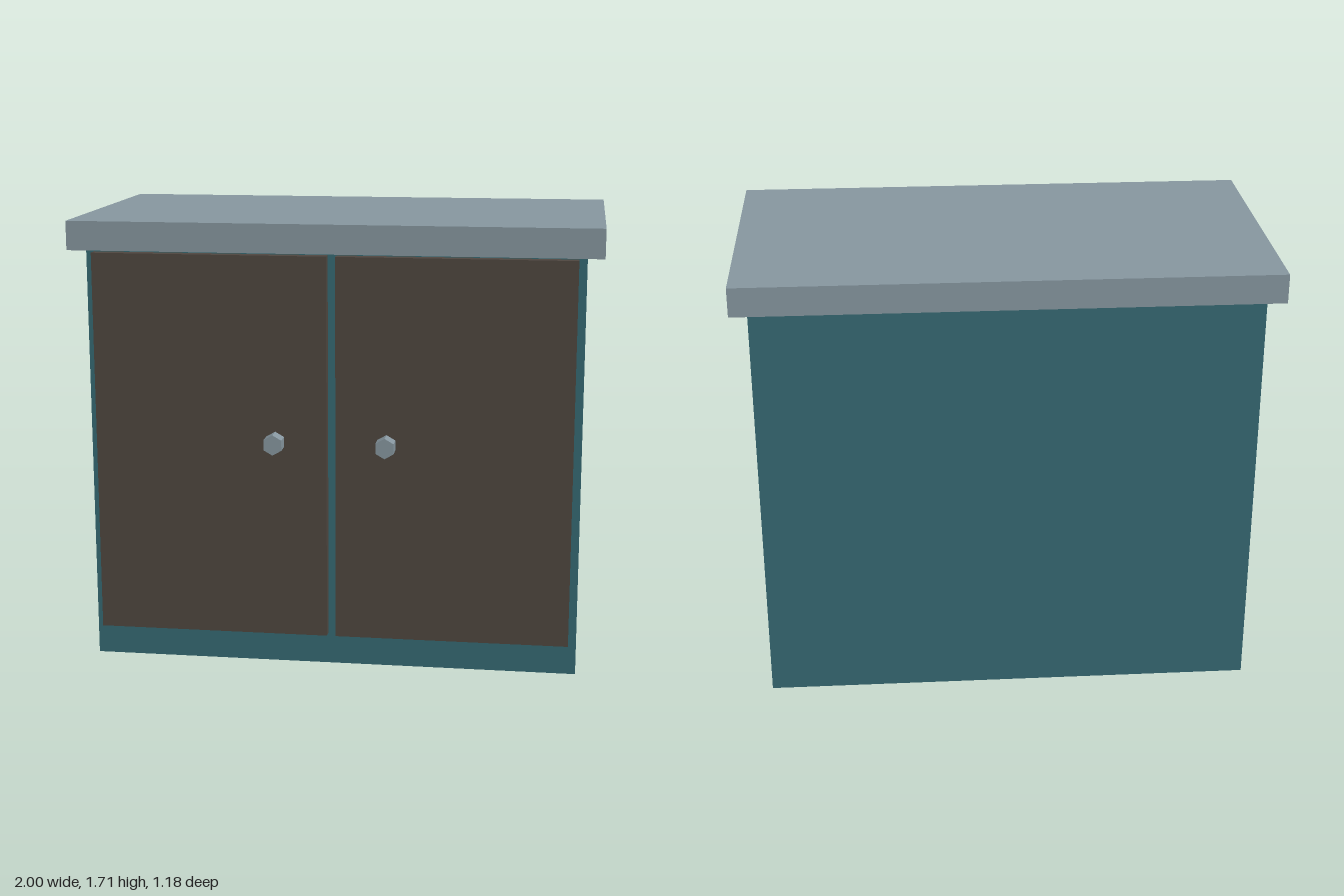
import * as THREE from 'three';

const material = (name, color) => {
  const m = new THREE.MeshStandardMaterial({ color });
  m.name = name;
  return m;
};

// Box given by its limits on each axis
function box(name, mat, [x0, x1], [y0, y1], [z0, z1]) {
  const mesh = new THREE.Mesh(new THREE.BoxGeometry(x1 - x0, y1 - y0, z1 - z0), mat);
  mesh.position.set((x0 + x1) / 2, (y0 + y1) / 2, (z0 + z1) / 2);
  mesh.name = name;
  return mesh;
}

export function createModel() {
  const teal = material('teal', 0x366a73);
  const brown = material('dark brown', 0x4f4740);
  const grey = material('blue grey', 0x8797a0);
  grey.flatShading = true;

  const cabinet = new THREE.Group();
  cabinet.name = 'cabinet';

  // Carcass and overhanging worktop
  cabinet.add(box('carcass', teal, [-0.937, 0.937], [0, 1.603], [-0.542, 0.475]));
  cabinet.add(box('worktop', grey, [-1, 1], [1.603, 1.713], [-0.59, 0.52]));

  // Mirrored doors, each with a hexagonal knob standing just clear of it
  const knobGeometry = new THREE.CylinderGeometry(0.039, 0.039, 0.062, 6).rotateX(Math.PI / 2);
  for (const [side, s] of [['left', 1], ['right', -1]]) {
    const xs = [0.017 * s, 0.907 * s].sort((a, b) => a - b);
    cabinet.add(box(side + 'Door', brown, xs, [0.125, 1.595], [0.475, 0.519]));

    const knob = new THREE.Mesh(knobGeometry, grey);
    knob.name = side + 'Knob';
    knob.position.set(0.211 * s, 0.892, 0.559);
    cabinet.add(knob);
  }
  return cabinet;
}
